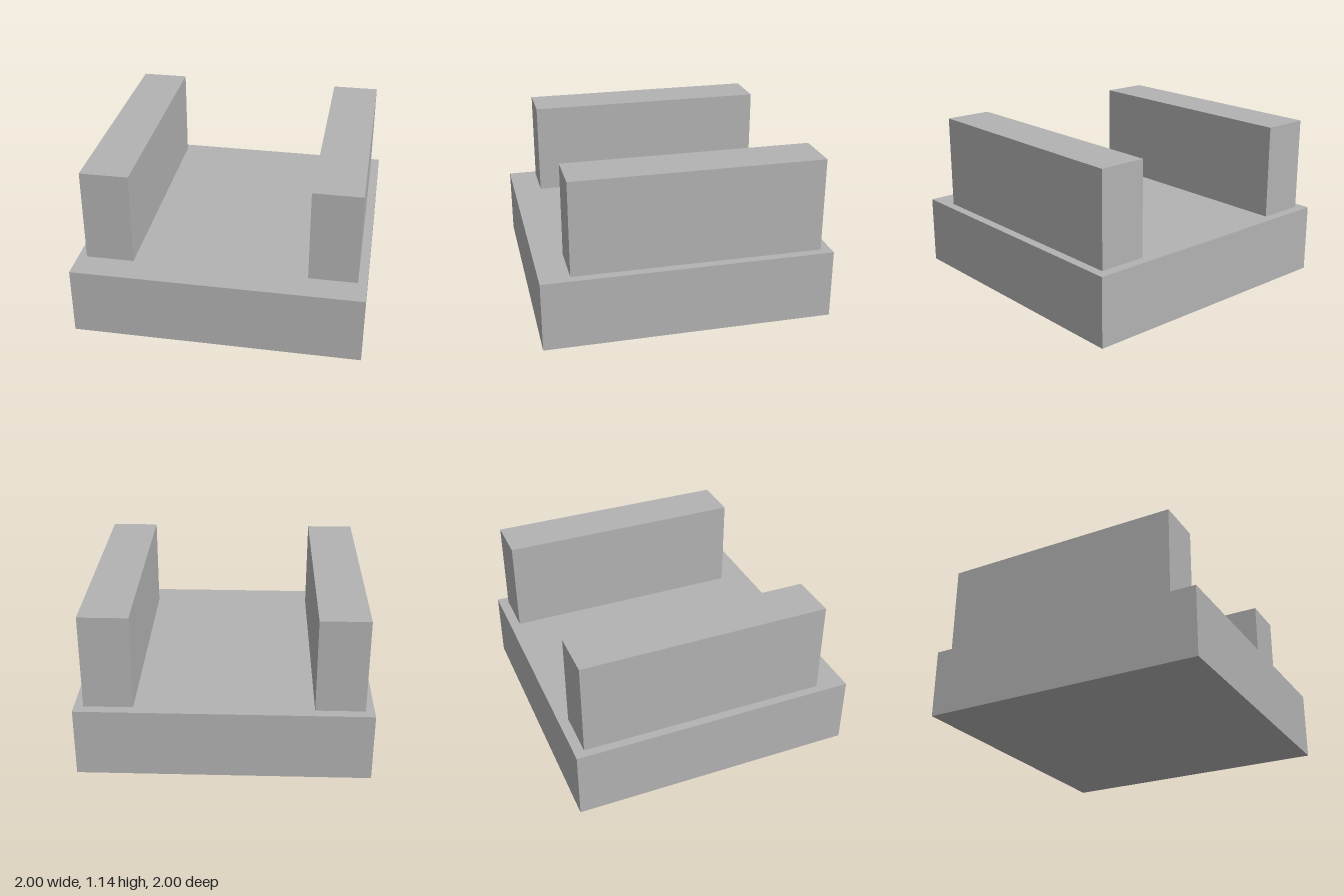
import * as THREE from 'three';

export function createModel() {
  const model = new THREE.Group();
  const grey = new THREE.MeshStandardMaterial({ color: 0xb2b2b2 });
  grey.name = 'grey';

  // Adds a box spanning the given minimum and maximum corners
  function addBox(name, min, max) {
    const size = max.map((v, i) => v - min[i]);
    const mesh = new THREE.Mesh(new THREE.BoxGeometry(...size), grey);
    mesh.position.set(...min.map((v, i) => (v + max[i]) / 2));
    mesh.name = name;
    model.add(mesh);
  }

  const baseTop = 0.483;

  // Square base slab
  addBox('base', [-1, 0, -1], [1, baseTop, 1]);

  // Two parallel side walls, set slightly towards the back
  addBox('leftWall', [0.603, baseTop, -0.93], [0.937, 1.14, 0.795]);
  addBox('rightWall', [-0.94, baseTop, -0.93], [-0.606, 1.14, 0.795]);

  return model;
}
